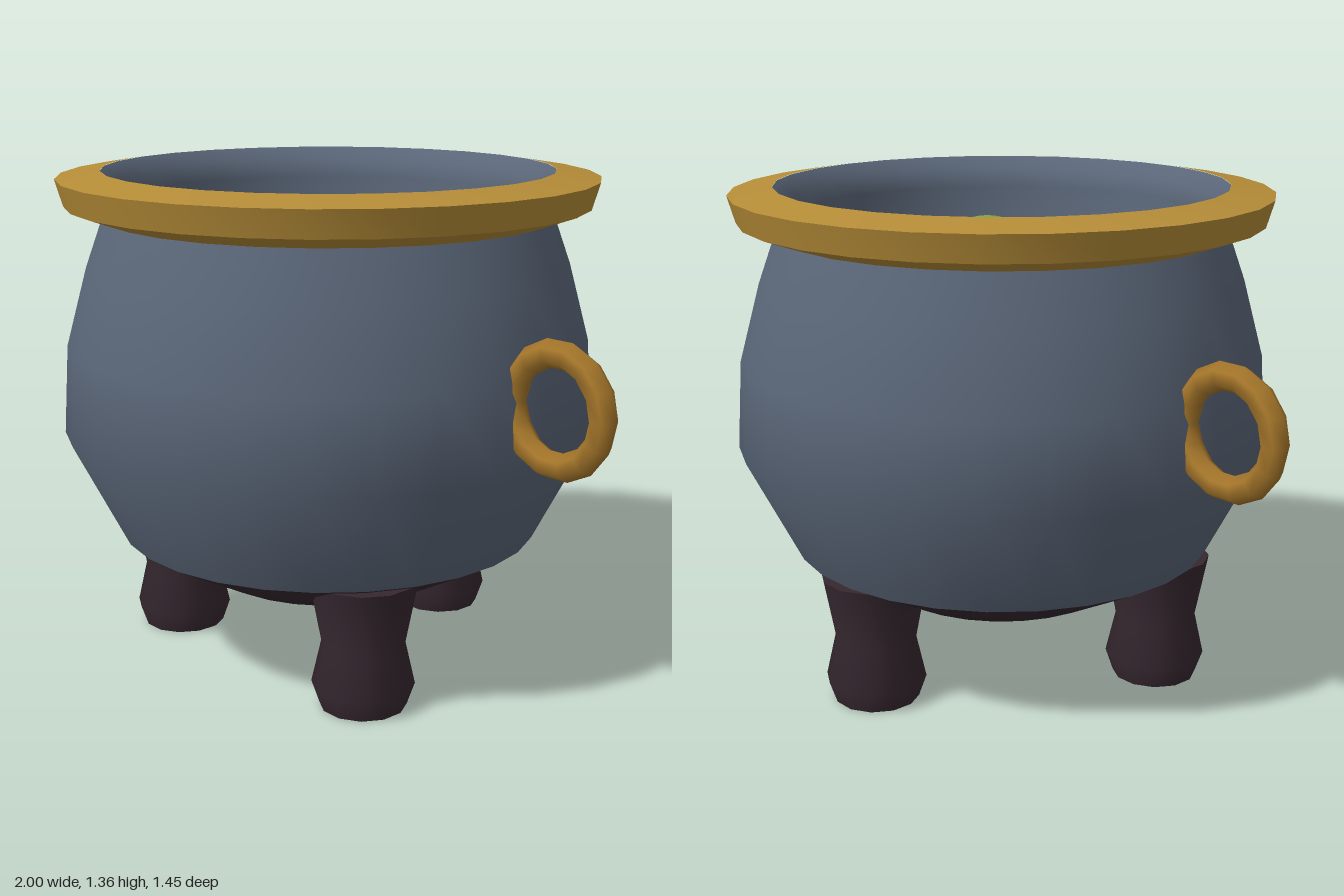
import * as THREE from 'three';
import { toCreasedNormals } from 'three/addons/utils/BufferGeometryUtils.js';

const SEGMENTS = 28;

function material(name, color) {
  const m = new THREE.MeshStandardMaterial({ color });
  m.name = name;
  return m;
}

// Revolved shell from [radius, height] pairs, listed from the bottom outside to the top and back in
function lathe(points, segments, crease) {
  const geometry = new THREE.LatheGeometry(points.map(([r, y]) => new THREE.Vector2(r, y)), segments, Math.PI / segments);
  return crease ? toCreasedNormals(geometry, crease) : geometry;
}

export function createModel() {
  const model = new THREE.Group();
  model.name = 'cauldron';

  const iron = material('blue grey iron', 0x5a6678);
  const darkIron = material('dark iron', 0x35272f);
  const brass = material('brass', 0xb68d38);
  const darkBrass = material('dark brass', 0xa5762a);
  const brew = material('green brew', 0x417e32);
  const froth = material('light green froth', 0x78a84a);

  function add(name, geometry, mat, x = 0, y = 0, z = 0) {
    const mesh = new THREE.Mesh(geometry, mat);
    mesh.name = name;
    mesh.position.set(x, y, z);
    model.add(mesh);
    return mesh;
  }

  // Pot: outer wall and underside
  add('potWall', lathe([[0.58, 0.36], [0.727, 0.65], [0.712, 0.89], [0.655, 1.1], [0.605, 1.24]], SEGMENTS), iron);
  add('potBase', lathe([[0, 0.226], [0.33, 0.226], [0.58, 0.36]], SEGMENTS, 0.6), darkIron);

  // Inner wall runs down from the rim to the brew
  add('innerWall', lathe([[0.61, 1.355], [0.565, 1.32], [0.552, 1.27], [0.55, 1.17], [0.525, 1.128]], SEGMENTS), iron);

  // Bevelled rim
  add('rim', lathe([[0.6, 1.226], [0.708, 1.264], [0.729, 1.336], [0.61, 1.356]], SEGMENTS, 0.6), brass);

  // Brew surface with a pale patch and bubbles
  const disc = (radius) => new THREE.CircleGeometry(radius, SEGMENTS).rotateX(-Math.PI / 2);
  add('brewSurface', disc(0.54), brew, 0, 1.13, 0);
  add('frothPatch', disc(0.19), froth, 0, 1.136, 0);
  const bubbles = [
    [-0.01, 1.16, -0.06, 0.115],
    [-0.255, 1.15, -0.125, 0.1],
    [0.155, 1.14, 0.22, 0.064],
  ];
  for (const [x, y, z, r] of bubbles) {
    add('bubble', new THREE.SphereGeometry(r, 12, 9), froth, x, y, z);
  }

  // Ring handles
  for (const side of [-1, 1]) {
    const name = side > 0 ? 'leftHandle' : 'rightHandle';
    add(name, new THREE.TorusGeometry(0.14, 0.036, 6, 14), darkBrass, side * 0.825, 0.84, 0);
  }

  // Three stubby legs, one at the back and two towards the front
  const legProfile = [[0, 0], [0.115, 0], [0.136, 0.06], [0.11, 0.175], [0.143, 0.35], [0, 0.35]];
  const legGeometry = lathe(legProfile, 12, 0.9);
  ['backLeg', 'frontLeftLeg', 'frontRightLeg'].forEach((name, i) => {
    const angle = Math.PI + (i * Math.PI * 2) / 3;
    const side = i === 0 ? 0 : i === 1 ? 1 : -1;
    add(name, legGeometry, darkIron, side * Math.abs(Math.sin(angle)) * 0.453, 0, Math.cos(angle) * 0.453);
  });

  return model;
}
